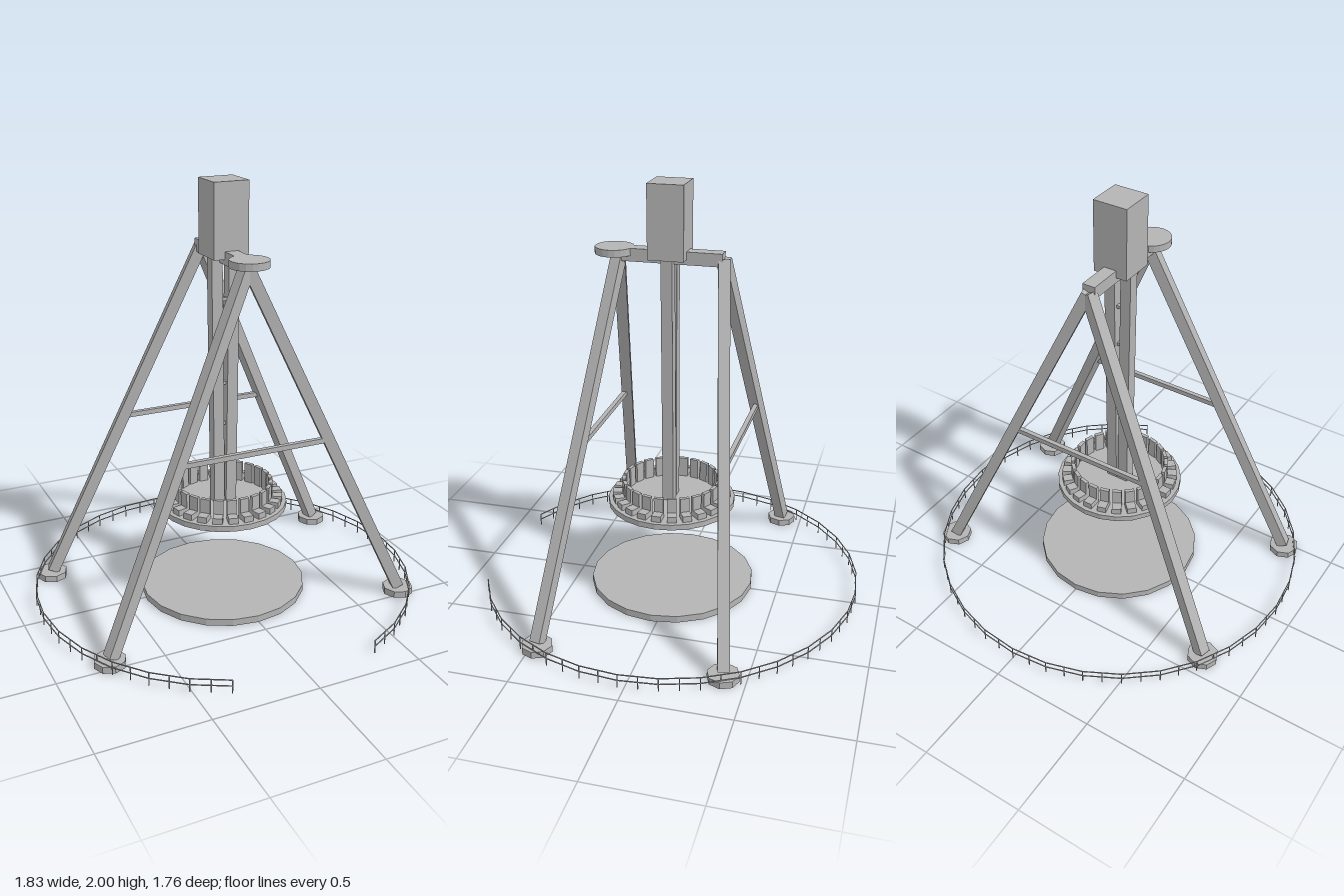
import * as THREE from 'three';

export function createModel() {
  const ride = new THREE.Group();
  ride.name = 'pendulumRide';
  const grey = new THREE.MeshStandardMaterial({ color: 0xb4b4b4, flatShading: true });
  grey.name = 'grey steel';
  const CZ = 0.033; // centre of the ride along z

  function add(name, geometry, x, y, z, parent = ride) {
    const mesh = new THREE.Mesh(geometry, grey);
    mesh.name = name;
    mesh.position.set(x, y, z);
    parent.add(mesh);
    return mesh;
  }
  const box = (name, w, h, d, x, y, z, parent) =>
    add(name, new THREE.BoxGeometry(w, h, d), x, y, z, parent);
  const disc = (name, r, y0, y1, x, z, sides, parent) =>
    add(name, new THREE.CylinderGeometry(r, r, y1 - y0, sides), x, (y0 + y1) / 2, z, parent);

  // Square bar between two points
  function bar(name, a, b, size, parent) {
    const mesh = box(name, size, size, a.distanceTo(b), 0, 0, 0, parent);
    mesh.position.copy(a).add(b).multiplyScalar(0.5);
    mesh.lookAt(b);
    return mesh;
  }
  const v = (x, y, z) => new THREE.Vector3(x, y, z);

  // Boarding platform
  disc('platform', 0.4, 0, 0.033, 0, CZ - 0.003, 20);

  // Two A-frames with octagonal feet and a cross brace
  for (const s of [1, -1]) {
    for (const side of [1, -1]) {
      disc('foot', 0.073, 0, 0.032, side * 0.745, CZ + s * 0.43, 8);
      bar('leg', v(side * 0.74, 0.036, CZ + s * 0.43), v(0, 1.66, CZ + s * 0.243), 0.053);
    }
    box('crossBrace', 0.72, 0.024, 0.022, 0, 0.836, CZ + s * 0.342);
  }

  // Axle beam, round end cap and counterweight
  box('axleBeam', 0.063, 0.06, 0.51, 0, 1.665, 0.045);
  disc('axleCap', 0.09, 1.662, 1.695, 0, 0.298, 20);
  box('counterweight', 0.168, 0.34, 0.168, 0, 1.83, CZ + 0.004);

  // Twin swing arms joined by rungs
  for (const side of [1, -1]) {
    bar('swingArm', v(side * 0.043, 1.67, CZ + 0.004), v(side * 0.03, 0.465, CZ + 0.004), 0.053);
  }
  for (let i = 0; i < 5; i++) {
    box('armRung', 0.07, 0.015, 0.02, 0, 0.66 + i * 0.2, CZ + 0.004);
  }

  // Gondola with outward-facing seats
  const gondola = new THREE.Group();
  gondola.name = 'gondola';
  gondola.position.z = CZ;
  ride.add(gondola);
  disc('gondolaFloor', 0.307, 0.44, 0.467, 0, 0, 24, gondola);
  for (let i = 0; i < 24; i++) {
    const seat = new THREE.Group();
    seat.name = 'seat';
    seat.rotation.y = (i / 24) * Math.PI * 2;
    gondola.add(seat);
    box('seatCushion', 0.045, 0.032, 0.05, 0, 0.48, 0.26, seat);
    box('seatBack', 0.045, 0.1, 0.018, 0, 0.515, 0.23, seat);
  }

  // Round fence, open at the front
  const R = 0.915, STEP = Math.PI / 16;
  const at = (k, y) => v(R * Math.sin(k * STEP), y, CZ - 0.003 + R * Math.cos(k * STEP));
  const fence = new THREE.Group();
  fence.name = 'fence';
  ride.add(fence);
  for (let k = 2; k < 30; k++) {
    for (const y of [0.035, 0.064]) bar('fenceRail', at(k, y), at(k + 1, y), 0.004, fence);
  }
  for (let k = 2; k <= 30; k += 0.5) {
    const r = k % 1 ? Math.cos(STEP / 2) : 1;
    const p = at(k, 0.033);
    box('fencePost', 0.004, 0.066, 0.004, p.x * r, 0.033, p.z * r, fence);
  }
  return ride;
}
